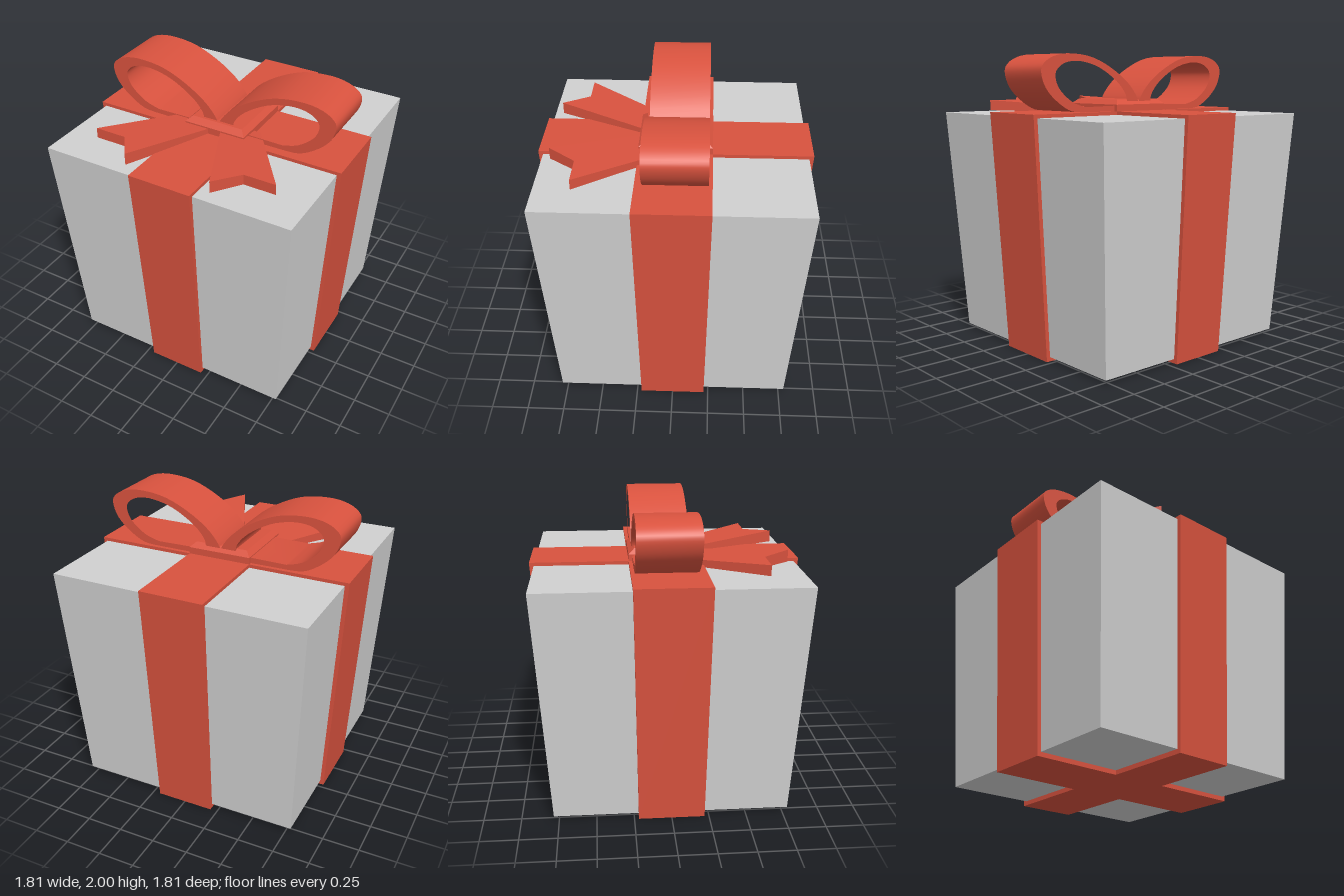
import * as THREE from 'three';
import { toCreasedNormals } from 'three/addons/utils/BufferGeometryUtils.js';

const paper = new THREE.MeshStandardMaterial({ color: 0xd0d0d0 });
paper.name = 'paperGrey';
const ribbon = new THREE.MeshStandardMaterial({ color: 0xd8523e });
ribbon.name = 'ribbonRed';

function part(name, geometry, material) {
  const mesh = new THREE.Mesh(geometry, material);
  mesh.name = name;
  return mesh;
}

// Box whose half-widths run from [x, z] at y0 to [x, z] at y1
function taperedBox(y0, [bx, bz], y1, [tx, tz]) {
  const geo = new THREE.BoxGeometry(2, 1, 2).toNonIndexed();
  const p = geo.attributes.position;
  for (let i = 0; i < p.count; i++) {
    const top = p.getY(i) > 0;
    p.setXYZ(i, p.getX(i) * (top ? tx : bx), top ? y1 : y0, p.getZ(i) * (top ? tz : bz));
  }
  geo.computeVertexNormals();
  return geo;
}

// Teardrop loop of the bow, extruded along z; side is +1 or -1
function bowLoop(side) {
  const curve = (pts) => new THREE.SplineCurve(
    pts.map(([x, y]) => new THREE.Vector2(x * side, y))).getPoints(40);
  const outer = curve([[0, 1.62], [0.01, 1.7], [0.1, 1.81], [0.25, 1.91], [0.42, 1.98], [0.6, 2],
    [0.73, 1.98], [0.81, 1.93], [0.825, 1.87], [0.79, 1.78], [0.71, 1.7], [0.6, 1.635], [0.5, 1.622]]);
  const inner = curve([[0.11, 1.66], [0.12, 1.73], [0.2, 1.82], [0.35, 1.91], [0.5, 1.95], [0.62, 1.945],
    [0.695, 1.905], [0.715, 1.85], [0.68, 1.77], [0.58, 1.69], [0.47, 1.655]]);
  const shape = new THREE.Shape(outer);
  shape.holes.push(new THREE.Path(inner));
  const geo = new THREE.ExtrudeGeometry(shape, { depth: 0.405, bevelEnabled: false });
  geo.translate(0, 0, -0.22);
  return toCreasedNormals(geo, 0.6);
}

// Swallow-tailed ribbon end, thickening and rising toward its tip
function tail(side) {
  const outline = [[0.27, 0.1], [0.655, 0.635], [0.435, 0.635], [0.305, 0.815], [-0.02, 0.1]];
  const shape = new THREE.Shape(outline.map(([x, z]) => new THREE.Vector2(x * side, -z)));
  const geo = new THREE.ExtrudeGeometry(shape, { depth: 1, bevelEnabled: false });
  geo.rotateX(-Math.PI / 2);
  const p = geo.attributes.position;
  for (let i = 0; i < p.count; i++) {
    const z = p.getZ(i) - 0.2;
    p.setY(i, p.getY(i) > 0.5 ? 1.652 + z * 0.075 : 1.605 + z * 0.02);
  }
  geo.computeVertexNormals();
  return geo;
}

export function createModel() {
  const model = new THREE.Group();
  model.name = 'giftBox';

  // Tapered box
  model.add(part('box', taperedBox(0.03, [0.785, 0.785], 1.597, [0.877, 0.877]), paper));

  // Two crossing bands wrapped around the box
  model.add(part('frontBackBand', taperedBox(0, [0.2, 0.81], 1.62, [0.22, 0.907]), ribbon));
  model.add(part('sideBand', taperedBox(0, [0.81, 0.22], 1.62, [0.907, 0.245]), ribbon));

  // Bow with bevelled knot, mirrored loops and tails
  const bow = new THREE.Group();
  bow.name = 'bow';
  bow.add(part('knotBase', taperedBox(1.61, [0.22, 0.245], 1.665, [0.22, 0.245]), ribbon));
  bow.add(part('knotTop', taperedBox(1.665, [0.22, 0.245], 1.698, [0.185, 0.205]), ribbon));
  for (const side of [1, -1]) {
    const label = side > 0 ? 'left' : 'right';
    bow.add(part(label + 'Loop', bowLoop(side), ribbon));
    bow.add(part(label + 'Tail', tail(side), ribbon));
  }
  model.add(bow);
  return model;
}
